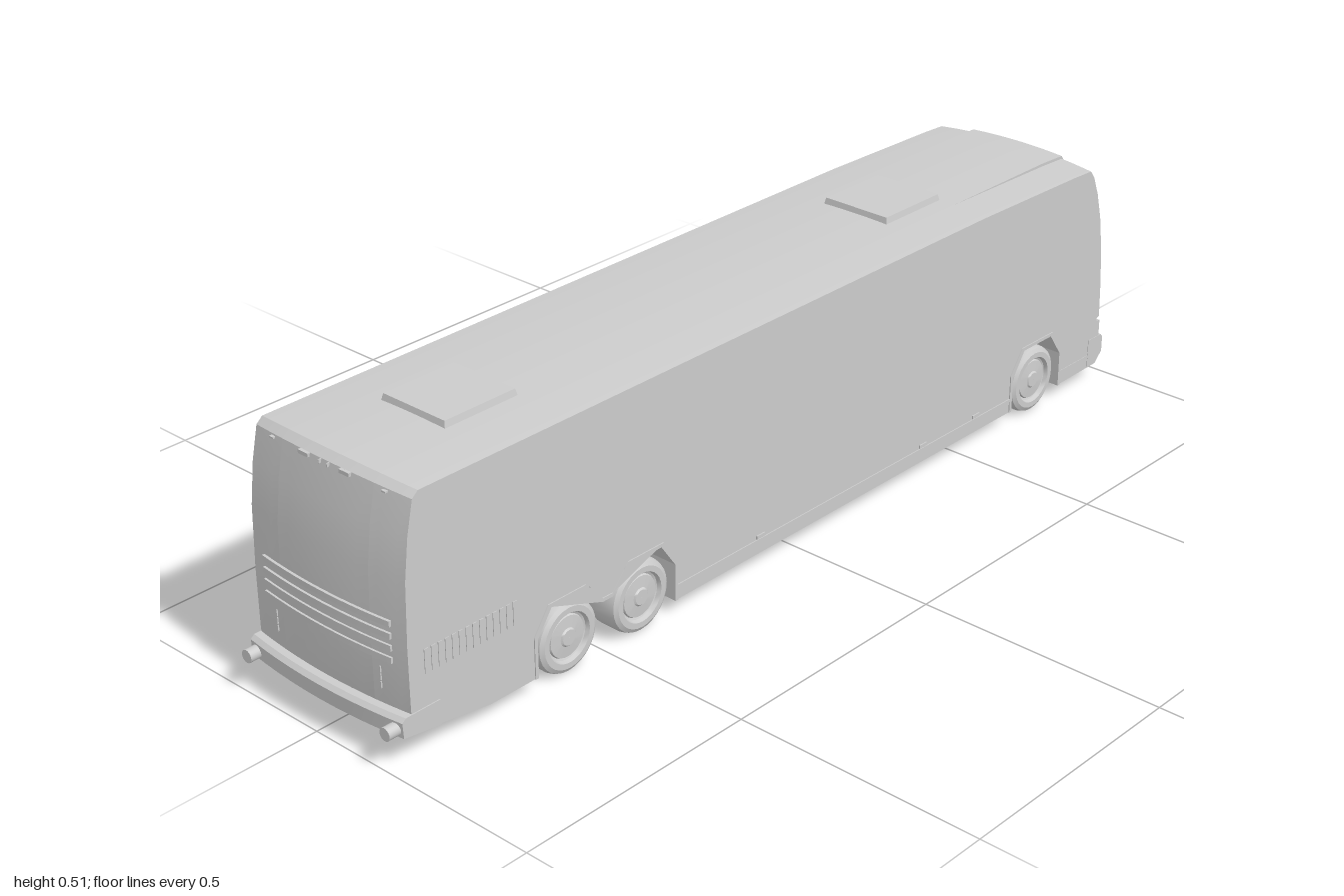
import * as THREE from 'three';
import { toCreasedNormals } from 'three/addons/utils/BufferGeometryUtils.js';

const HALF = 0.19, INNER = 0.112;
const mat = new THREE.MeshStandardMaterial({ color: 0xcccccc, side: THREE.DoubleSide });
const clamp = (v) => Math.min(1, Math.max(0, v));

// Crown the roof and round both ends in plan; the front shoulders sit a little lower
function warp(geo, shoulder = 0) {
  const p = geo.attributes.position;
  for (let i = 0; i < p.count; i++) {
    const x = p.getX(i), y = p.getY(i), z = p.getZ(i), q = (x / HALF) ** 2;
    const high = clamp((y - 0.4) / 0.1);
    const drop = 0.008 * q + shoulder * 0.006 * clamp((-0.55 - z) / 0.3);
    p.setXYZ(i, x, y - drop * high, z - Math.sign(z) * 0.014 * q * clamp((Math.abs(z) - 0.84) / 0.1));
  }
  return toCreasedNormals(geo, 0.45);
}

// Extrude a [z, y] outline across the width from x0 to x1
function across(points, x0, x1, steps = 1) {
  const shape = new THREE.Shape(points.map(([z, y]) => new THREE.Vector2(-z, y)));
  const geo = new THREE.ExtrudeGeometry(shape, { depth: x1 - x0, steps, bevelEnabled: false });
  return geo.rotateY(Math.PI / 2).translate(x0, 0, 0);
}

function box(w, h, d, x, y, z, segments = 1) {
  return new THREE.BoxGeometry(w, h, d, segments).translate(x, y, z);
}

export function createModel() {
  const root = new THREE.Group();
  const add = (name, geo, parent = root) => {
    const mesh = new THREE.Mesh(geo, mat);
    mesh.name = name;
    parent.add(mesh);
    return mesh;
  };
  const group = (name) => {
    const g = new THREE.Group();
    g.name = name;
    root.add(g);
    return g;
  };

  // Body outline: louvred end, roof and curved windscreen
  const upper = [
    [0.78, 0.03], [0.962, 0.056], [0.968, 0.1], [0.968, 0.22], [0.964, 0.34], [0.954, 0.42], [0.94, 0.488],
    [0.925, 0.5], [0.6, 0.5], [0, 0.5], [-0.55, 0.5], [-0.7, 0.5], [-0.85, 0.5], [-0.915, 0.497], [-0.93, 0.478],
    [-0.948, 0.43], [-0.963, 0.37], [-0.974, 0.3], [-0.981, 0.22], [-0.984, 0.14],
    [-0.976, 0.138], [-0.976, 0.132], [-0.987, 0.13], [-0.987, 0.095], [-0.975, 0.032],
  ];
  // Wheel arches
  const frontArch = [[-0.83, 0.03], [-0.83, 0.105], [-0.795, 0.155], [-0.705, 0.155], [-0.67, 0.105], [-0.67, 0.03]];
  const rearArch = [
    [0.33, 0.03], [0.33, 0.105], [0.365, 0.155], [0.455, 0.155], [0.488, 0.11],
    [0.512, 0.11], [0.545, 0.155], [0.635, 0.155], [0.67, 0.105], [0.67, 0.03],
  ];
  const sideOutline = [...upper, ...frontArch, ...rearArch];

  const body = group('body');
  add('centreBody', warp(across(upper, -INNER, INNER, 8)), body);
  add('leftBody', warp(across(sideOutline, INNER, HALF, 4), 1), body);
  add('rightBody', warp(across(sideOutline, -HALF, -INNER, 4), 1), body);

  // Bumpers wrap the full width at each end
  const bumpers = group('bumpers');
  add('tailBumper', warp(across([[0.9, 0.046], [0.988, 0.058], [0.99, 0.088], [0.982, 0.095], [0.9, 0.095]], -0.192, 0.192, 10)), bumpers);
  add('noseBumper', warp(across([[-0.95, 0.033], [-0.978, 0.033], [-1, 0.055], [-1, 0.088], [-0.994, 0.095], [-0.95, 0.095]], -0.191, 0.191, 10)), bumpers);

  // Roof hatches with slightly drawn-in lids
  for (const [name, z] of [['frontHatch', -0.47], ['rearHatch', 0.67]]) {
    const geo = box(0.156, 0.014, 0.165, 0, 0, 0);
    const p = geo.attributes.position;
    for (let i = 0; i < p.count; i++) {
      if (p.getY(i) > 0) p.setXYZ(i, p.getX(i) * 0.96, p.getY(i), p.getZ(i) * 0.96);
    }
    geo.computeVertexNormals();
    add(name, geo.translate(0, 0.504, z));
  }

  // Engine louvres, panel hinges and roof lights on the tail
  const tail = group('tailDetails');
  for (let i = 0; i < 4; i++) {
    add('tailLouvre', warp(box(0.316, 0.011, 0.008, 0, 0.187 + i * 0.0228, 0.968, 10)), tail);
  }
  for (const s of [-1, 1]) {
    for (let i = 0; i < 3; i++) add('hinge', box(0.002, 0.012, 0.006, s * 0.13, 0.13 + i * 0.015, 0.961), tail);
    add('roofLight', box(0.024, 0.007, 0.008, s * 0.05, 0.484, 0.941), tail);
    add('markerLight', box(0.01, 0.003, 0.008, s * 0.137, 0.48, 0.935), tail);
    add('smallLight', box(0.002, 0.007, 0.008, s * 0.01, 0.484, 0.942), tail);
    const lamp = new THREE.CylinderGeometry(0.0125, 0.0125, 0.03, 20).rotateX(Math.PI / 2);
    add('bumperLamp', lamp.translate(s * 0.175, 0.072, 0.985), tail);
  }

  // Side trim, mirrored
  for (const s of [-1, 1]) {
    const trim = group(s > 0 ? 'leftTrim' : 'rightTrim');
    add('skirtRail', box(0.003, 0.006, 1.0, s * 0.1905, 0.058, -0.17), trim);
    add('noseRail', box(0.003, 0.006, 0.11, s * 0.1895, 0.058, -0.885), trim);
    for (const z of [0.1, -0.38, -0.55]) add('sideMarker', box(0.003, 0.007, 0.022, s * 0.191, 0.066, z), trim);
    for (let i = 0; i < 14; i++) {
      add('sideLouvre', box(0.004, 0.046, 0.009, s * 0.1895, 0.18, 0.718 + i * 0.0152), trim);
    }
    // Arch lips follow the wheel openings
    for (const [arch, cz] of [[frontArch, -0.75], [rearArch, 0.5]]) {
      const top = arch.slice(1, -1);
      const outer = top.map(([z, y]) => [z + Math.sign(z - cz) * 0.007 * (Math.abs(z - cz) > 0.04 ? 1 : 0), y + 0.007]);
      const lip = [arch[0], ...top, arch.at(-1), [arch.at(-1)[0] + 0.007, 0.03], ...outer.reverse(), [arch[0][0] - 0.007, 0.03]];
      add('archLip', s > 0 ? across(lip, 0.186, 0.192) : across(lip, -0.192, -0.186), trim);
    }
  }

  // Wheels: tyre, rim and hub turned as one profile of [radius, offset]
  const profile = [
    [0.001, 0], [0.058, 0], [0.068, 0.006], [0.071, 0.014], [0.071, 0.058], [0.068, 0.067], [0.06, 0.072],
    [0.049, 0.072], [0.046, 0.064], [0.042, 0.062], [0.04, 0.066], [0.018, 0.068], [0.015, 0.071], [0.001, 0.071],
  ].map(([r, h]) => new THREE.Vector2(r, h));
  const wheelGeo = toCreasedNormals(new THREE.LatheGeometry(profile, 28), 0.5);
  for (const s of [-1, 1]) {
    for (const [name, z] of [['frontWheel', -0.75], ['driveWheel', 0.41], ['tagWheel', 0.59]]) {
      const wheel = add((s > 0 ? 'left ' : 'right ') + name, wheelGeo);
      wheel.rotation.z = -s * Math.PI / 2;
      wheel.position.set(s * 0.115, 0.071, z);
    }
    // Axle stubs reach into the body
  }
  return root;
}
